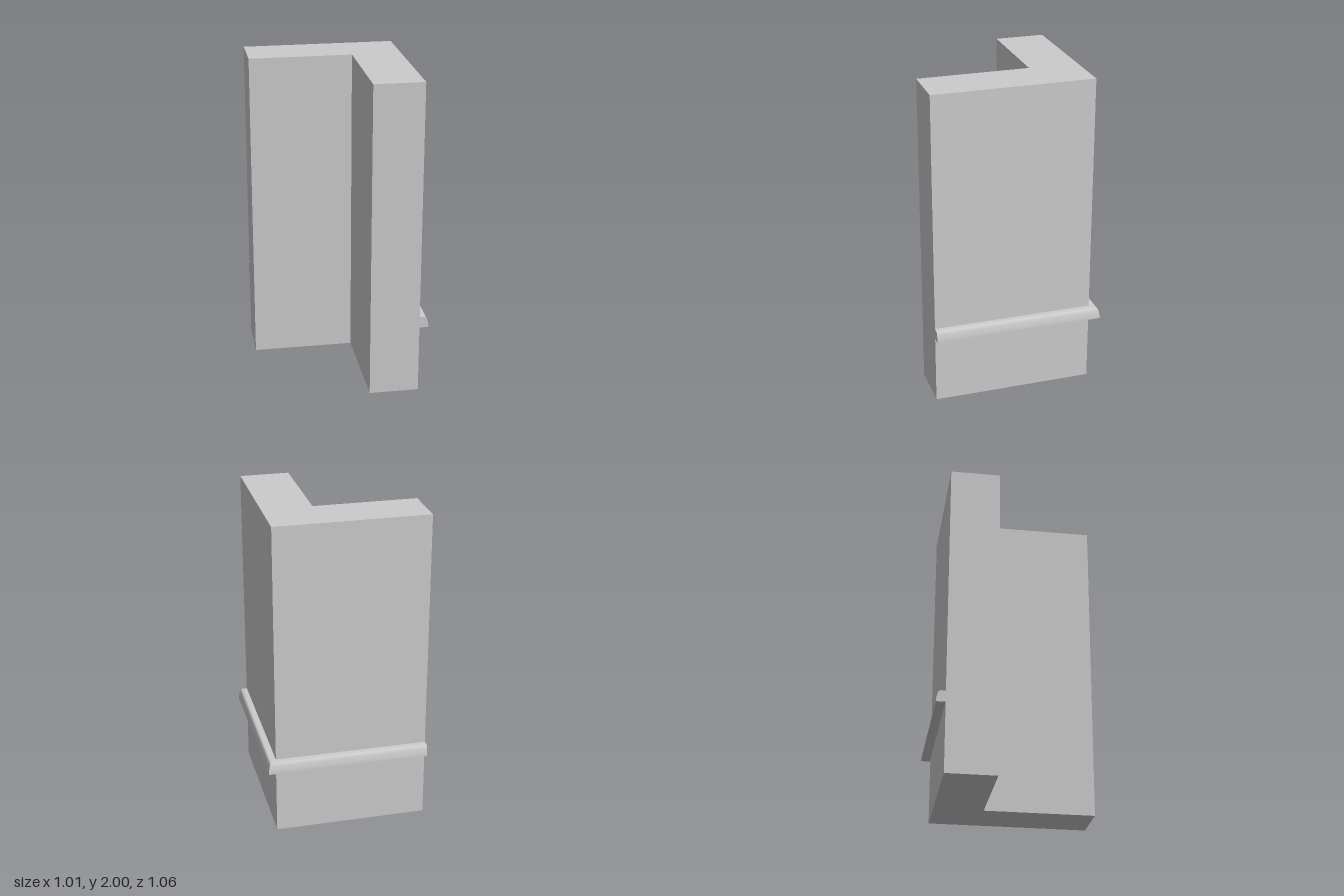
import * as THREE from 'three';
import { toCreasedNormals } from 'three/addons/utils/BufferGeometryUtils.js';

const LEFT = -0.505, RIGHT = 0.447, BACK = -0.477, FRONT = 0.525;
const INNER_X = 0.138, INNER_Z = -0.168, HEIGHT = 2;

// L-shaped wall plan extruded upward
function wallGeometry() {
  const plan = [[LEFT, BACK], [LEFT, INNER_Z], [INNER_X, INNER_Z],
    [INNER_X, FRONT], [RIGHT, FRONT], [RIGHT, BACK]];
  const shape = new THREE.Shape(plan.map(([x, z]) => new THREE.Vector2(x, -z)));
  const geo = new THREE.ExtrudeGeometry(shape, { depth: HEIGHT, bevelEnabled: false });
  return geo.rotateX(-Math.PI / 2);
}

// Rail profile swept along the two outer faces with a mitred corner
function railGeometry() {
  // [distance out from wall, height]
  const profile = [[0, 0.433], [0.056, 0.433], [0.056, 0.444], [0.053, 0.462],
    [0.049, 0.48], [0.045, 0.492], [0.039, 0.5], [0.03, 0.503], [0, 0.503]];
  const stations = [
    (d, y) => [LEFT, y, BACK - d],
    (d, y) => [RIGHT + d, y, BACK - d],
    (d, y) => [RIGHT + d, y, FRONT],
  ];
  const rings = stations.map((place) => profile.map(([d, y]) => place(d, y)));
  const n = profile.length;
  const positions = [];
  const tri = (a, b, c) => positions.push(...a, ...b, ...c);

  // Long sides
  for (let i = 0; i < rings.length - 1; i++) {
    for (let j = 0; j < n; j++) {
      const k = (j + 1) % n;
      tri(rings[i][j], rings[i][k], rings[i + 1][k]);
      tri(rings[i][j], rings[i + 1][k], rings[i + 1][j]);
    }
  }
  // End caps
  const first = rings[0], last = rings[rings.length - 1];
  for (let j = 1; j < n - 1; j++) {
    tri(first[0], first[j + 1], first[j]);
    tri(last[0], last[j], last[j + 1]);
  }

  const geo = new THREE.BufferGeometry();
  geo.setAttribute('position', new THREE.Float32BufferAttribute(positions, 3));
  return toCreasedNormals(geo, 0.7);
}

export function createModel() {
  const group = new THREE.Group();
  group.name = 'cornerWall';
  const material = new THREE.MeshStandardMaterial({ color: 0xcccccc });
  const add = (name, geometry) => {
    const mesh = new THREE.Mesh(geometry, material);
    mesh.name = name;
    group.add(mesh);
  };
  add('wall', wallGeometry());
  add('chairRail', railGeometry());
  return group;
}
